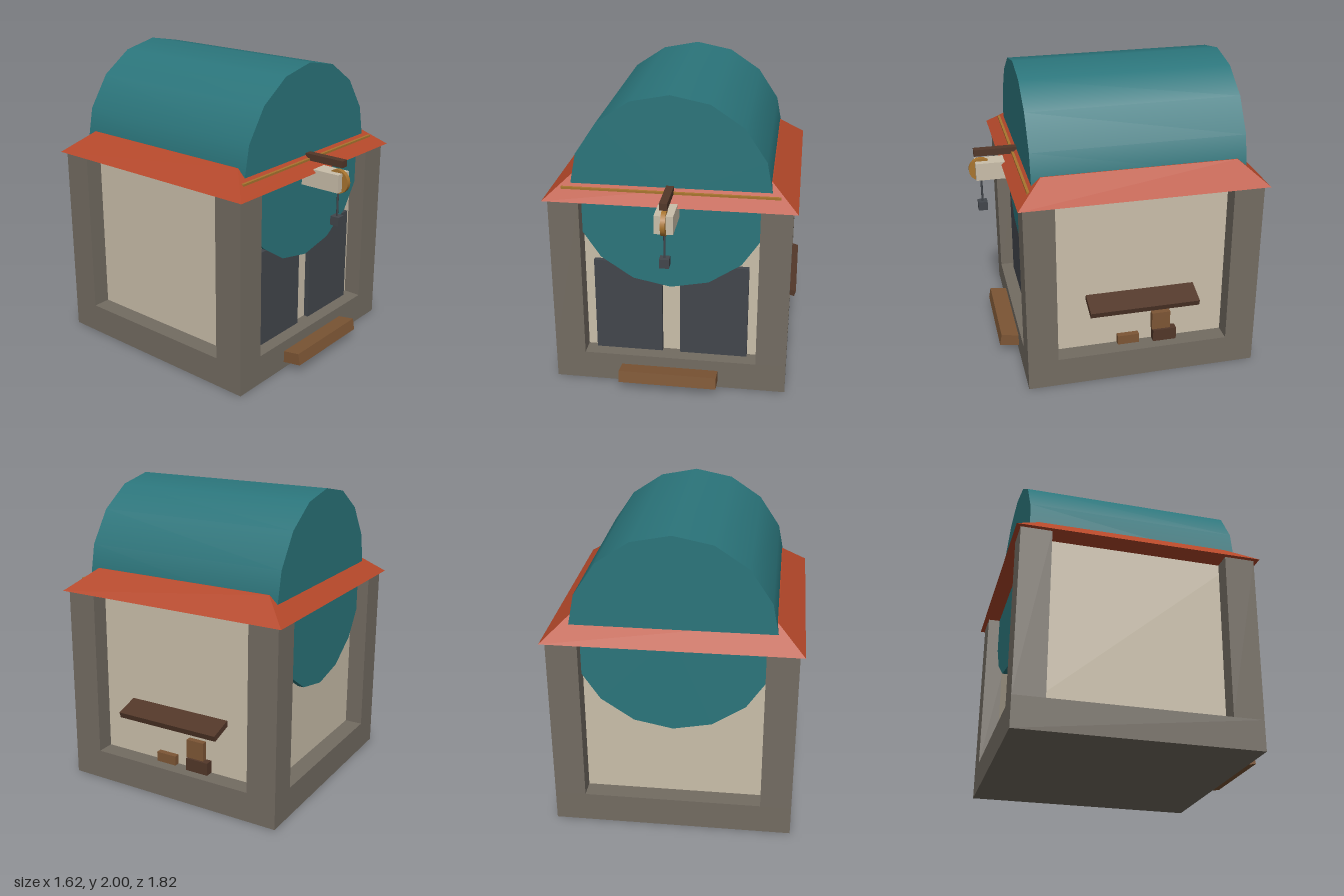
import * as THREE from 'three';

const mat = (color) => new THREE.MeshStandardMaterial({ color, flatShading: false });
const M = {
  stone: mat(0x736c62), plaster: mat(0xcabfaa), roof: mat(0xb5482a), teal: mat(0x2b757b),
  door: mat(0x42464c), wood: mat(0x7d5635), darkWood: mat(0x523729), gold: mat(0xa9752f), iron: mat(0x42464c),
};

export function createModel() {
  const model = new THREE.Group();
  const cx = -0.004, cz = -0.105; // centre of the house

  const add = (name, geometry, material, x, y, z) => {
    const mesh = new THREE.Mesh(geometry, material);
    mesh.name = name;
    mesh.position.set(x, y, z);
    model.add(mesh);
    return mesh;
  };
  // Box given by its extents
  const box = (name, material, [x0, x1], [y0, y1], [z0, z1]) =>
    add(name, new THREE.BoxGeometry(x1 - x0, y1 - y0, z1 - z0), material,
      (x0 + x1) / 2, (y0 + y1) / 2, (z0 + z1) / 2);

  // Stone base and corner posts around recessed plaster walls
  add('base', new THREE.BoxGeometry(1.55, 0.2, 1.55), M.stone, cx, 0.1, cz);
  for (const sx of [-1, 1]) for (const sz of [-1, 1])
    add('cornerPost', new THREE.BoxGeometry(0.2, 1.11, 0.2), M.stone, cx + sx * 0.675, 0.755, cz + sz * 0.675);
  add('walls', new THREE.BoxGeometry(1.31, 1.11, 1.31), M.plaster, cx, 0.755, cz);

  // Hipped eaves: a four-sided frustum
  const eaves = new THREE.CylinderGeometry(0.635 * Math.SQRT2, 0.805 * Math.SQRT2, 0.14, 4)
    .rotateY(Math.PI / 4).toNonIndexed();
  eaves.computeVertexNormals();
  add('eaves', eaves, M.roof, cx, 1.38, cz);

  // Barrel vault lying along z
  add('barrelRoof', new THREE.CylinderGeometry(0.65, 0.65, 1.39, 16).rotateX(Math.PI / 2),
    M.teal, cx, 1.35, cz);

  // Gold strip on the front eaves
  box('eavesTrim', M.gold, [cx - 0.695, cx + 0.695], [1.365, 1.385], [0.608, 0.626]);

  // Double doors
  for (const s of [-1, 1])
    add('door', new THREE.BoxGeometry(0.45, 0.68, 0.05), M.door, cx + s * 0.285, 0.52, 0.558);

  // Tilted front step
  add('frontStep', new THREE.BoxGeometry(0.65, 0.08, 0.2), M.wood, cx, 0.091, 0.696).rotation.x = -0.17;

  // Sloping side shelf with crates below
  add('sideShelf', new THREE.BoxGeometry(0.165, 0.04, 0.73), M.darkWood, 0.727, 0.551, -0.105).rotation.z = -0.3;
  box('lowerCrate', M.darkWood, [0.55, 0.705], [0.19, 0.285], [-0.35, -0.19]);
  box('upperCrate', M.wood, [0.56, 0.69], [0.285, 0.41], [-0.31, -0.185]);
  box('smallCrate', M.wood, [0.56, 0.69], [0.19, 0.265], [-0.095, 0.05]);

  // Hoist over the doors
  box('hoistBracket', M.plaster, [cx - 0.06, cx + 0.06], [1.21, 1.33], [0.53, 0.87]);
  box('hoistBeam', M.darkWood, [cx - 0.025, cx + 0.025], [1.37, 1.415], [0.57, 0.875]);
  add('pulleyWheel', new THREE.CylinderGeometry(0.08, 0.08, 0.03, 20).rotateZ(Math.PI / 2), M.gold, cx, 1.27, 0.833);
  add('hoistRope', new THREE.CylinderGeometry(0.007, 0.007, 0.2, 8), M.iron, cx, 1.11, 0.833);
  box('hoistWeight', M.iron, [cx - 0.031, cx + 0.031], [0.975, 1.035], [0.802, 0.864]);

  return model;
}
